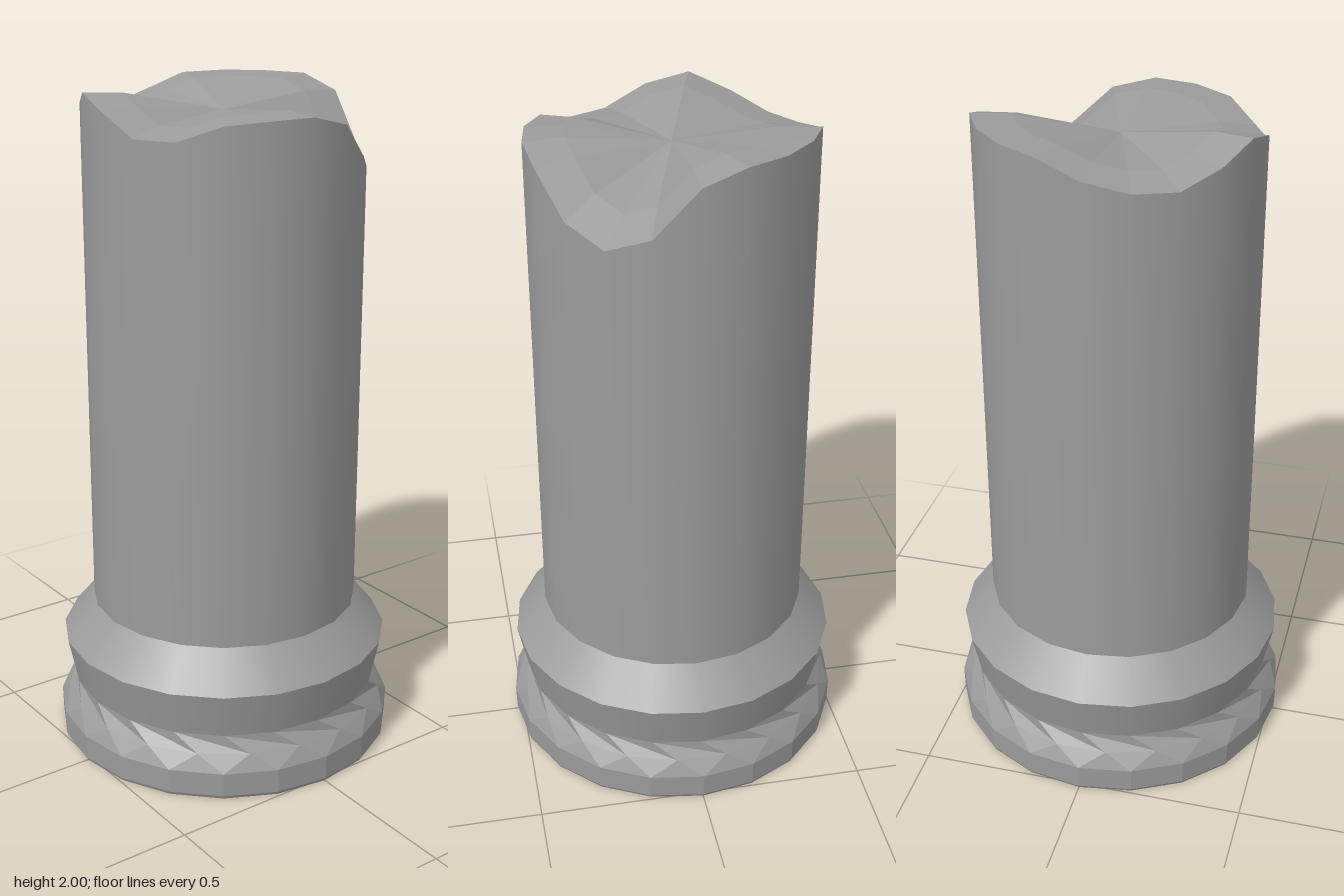
import * as THREE from 'three';

const SIDES = 20;
const SHAFT_R = 0.41;
const CENTRE_Y = 1.937;

// Height of the broken rim every 18 degrees, starting at +x and turning towards +z
const RIM = [
  1.96, 1.82, 1.775, 1.825, 1.93, 1.962, 1.96, 1.95, 1.905, 1.905,
  1.965, 2.0, 1.955, 1.915, 1.92, 1.95, 1.995, 2.0, 2.0, 2.0,
];

function rimHeight(x, z) {
  const k = Math.round(Math.atan2(z, x) / (2 * Math.PI / SIDES));
  return RIM[(k + SIDES) % SIDES];
}

const GREY = 0x9c9c9c;
const smooth = new THREE.MeshStandardMaterial({ color: GREY, side: THREE.DoubleSide });
const faceted = new THREE.MeshStandardMaterial({ color: GREY, side: THREE.DoubleSide, flatShading: true });

// Surface of revolution from [radius, height] pairs, listed bottom to top
function lathe(profile) {
  return new THREE.LatheGeometry(profile.map(([r, y]) => new THREE.Vector2(r, y)), SIDES);
}

// Calls rule(position) on every vertex and stores the result
function reshape(geometry, rule) {
  const pos = geometry.attributes.position;
  const v = new THREE.Vector3();
  for (let i = 0; i < pos.count; i++) {
    rule(v.fromBufferAttribute(pos, i));
    pos.setXYZ(i, v.x, v.y, v.z);
  }
  return geometry;
}

export function createModel() {
  const group = new THREE.Group();
  const add = (name, geometry, material) => {
    const mesh = new THREE.Mesh(geometry, material);
    mesh.name = name;
    group.add(mesh);
  };

  // Faceted foot: its middle row is turned by half a side
  const up = new THREE.Vector3(0, 1, 0);
  const foot = reshape(
    lathe([[0.515, 0], [0.52, 0.01], [0.522, 0.085], [0.495, 0.135], [0.475, 0.186]]),
    (v) => {
      if (v.y > 0.1 && v.y < 0.16) v.applyAxisAngle(up, Math.PI / SIDES);
    },
  );
  add('foot', foot, faceted);

  // Flared collar and the sloping shoulder above it
  add('collar', lathe([[0.475, 0.186], [0.505, 0.327]]), smooth);
  add('shoulder', lathe([[0.505, 0.327], [SHAFT_R, 0.44]]), smooth);

  // Shaft with its upper edge following the break
  const shaft = reshape(lathe([[SHAFT_R, 0.44], [SHAFT_R, 2]]), (v) => {
    if (v.y > 1) v.y = rimHeight(v.x, v.z);
  });
  add('shaft', shaft, smooth);

  // Broken top: a fan from the low centre with a slightly raised inner ring
  const top = reshape(lathe([[SHAFT_R, 0], [0.295, 0], [0, 0]]), (v) => {
    const t = Math.hypot(v.x, v.z) / SHAFT_R;
    const bump = t > 0.1 && t < 0.9 ? 0.013 : 0;
    v.y = t < 0.1 ? CENTRE_Y : CENTRE_Y + (rimHeight(v.x, v.z) - CENTRE_Y) * t + bump;
  });
  add('brokenTop', top, faceted);

  return group;
}
